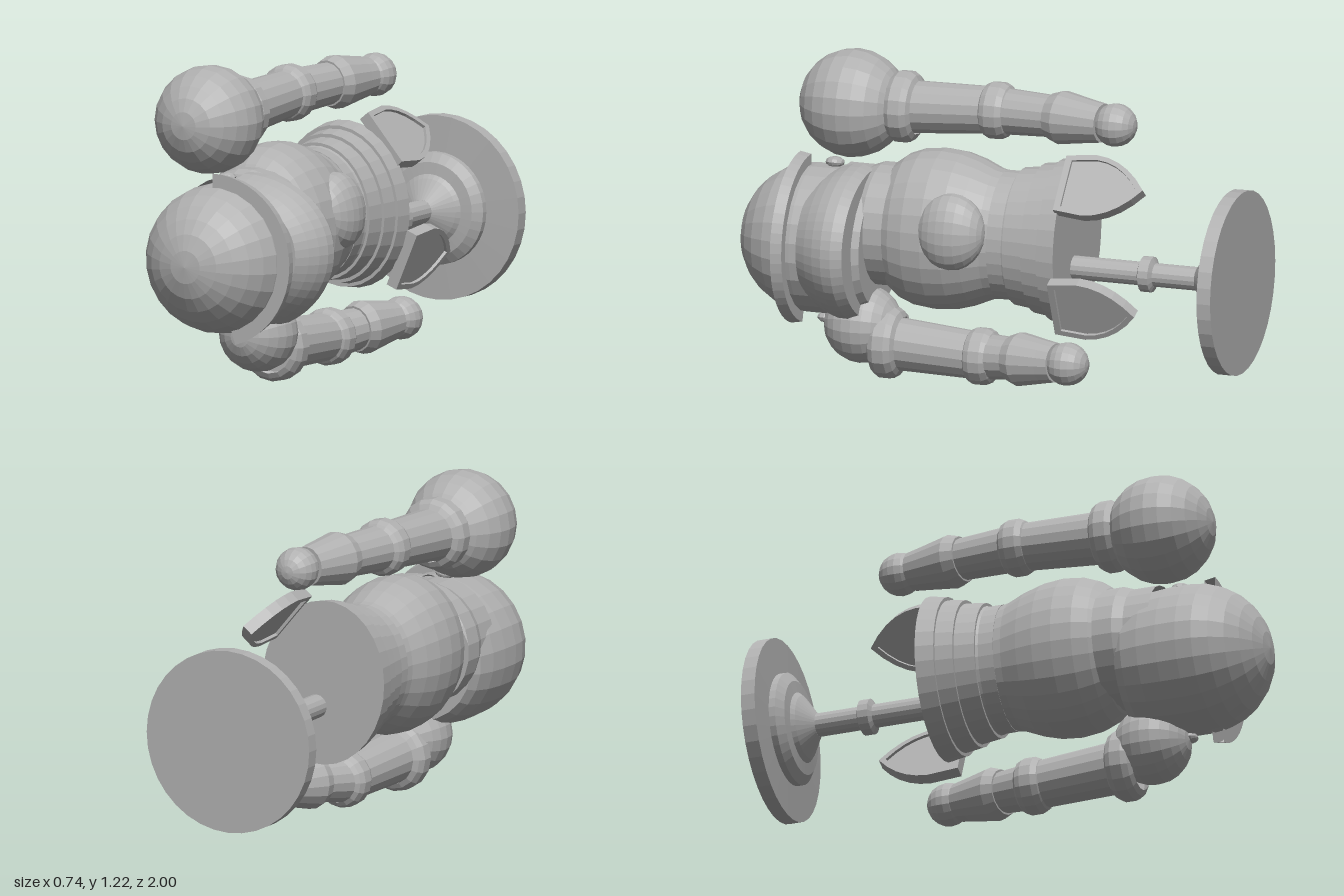
import * as THREE from 'three';

const metal = new THREE.MeshStandardMaterial({ color: 0xb0b0b0, flatShading: true, side: THREE.DoubleSide });
metal.name = 'grey metal';

const V = (x, y, z) => new THREE.Vector3(x, y, z);
const FACING = 0.15; // the figure looks along +x, turned slightly upward

function add(parent, name, geometry, x = 0, y = 0, z = 0) {
  const mesh = new THREE.Mesh(geometry, metal);
  mesh.name = name;
  mesh.position.set(x, y, z);
  parent.add(mesh);
  return mesh;
}

// Turned shape along z from [z, radius] pairs
function turned(profile, sides = 24, start = 0, length = Math.PI * 2) {
  const points = profile.map(([z, r]) => new THREE.Vector2(r, z));
  return new THREE.LatheGeometry(points, sides, start, length).rotateX(Math.PI / 2);
}

function ball(r, sides = 20, rings = 12) {
  return new THREE.SphereGeometry(r, sides, rings).rotateX(Math.PI / 2);
}

// Turned limb piece between two points, radii given as [fraction, radius]
function limb(parent, name, a, b, radii) {
  const dir = b.clone().sub(a);
  const len = dir.length();
  const mesh = add(parent, name, turned(radii.map(([t, r]) => [t * len, r]), 16), a.x, a.y, a.z);
  mesh.quaternion.setFromUnitVectors(V(0, 0, 1), dir.normalize());
}

const ringProfile = (r) => [[0, r * 0.75], [0.1, r * 0.9], [0.3, r], [0.7, r], [0.9, r * 0.9], [1, r * 0.75]];

function buildArm(name, p) {
  const arm = new THREE.Group();
  arm.name = name;
  add(arm, 'shoulderGuard', ball(p.shoulderR), ...p.shoulder.toArray());
  limb(arm, 'shoulderRing', V(p.ring.x, p.ring.y, 0.345), V(p.ring.x, p.ring.y, 0.455), ringProfile(0.137));
  limb(arm, 'upperArm', p.elbow, p.ring, [[0, 0], [0, 0.09], [1, 0.102], [1, 0]]);
  limb(arm, 'elbowRing', V(p.elbow.x, p.elbow.y, -0.035), V(p.elbow.x, p.elbow.y, 0.075), ringProfile(0.109));
  limb(arm, 'forearm', p.cuff, p.elbow, [[0, 0], [0, 0.08], [1, 0.09], [1, 0]]);
  limb(arm, 'cuff', p.hand, p.cuff, [[0.2, 0], [0.2, 0.075], [0.4, 0.083], [0.86, 0.103], [1.03, 0.088], [1.03, 0]]);
  add(arm, 'hand', ball(0.083, 16, 10), ...p.hand.toArray());
  return arm;
}

// Pointed hip plate outline, hanging toward -z once placed
function plateOutline(path, s) {
  const half = 0.128 * s, top = 0.16 * s, tip = -0.175 * s;
  path.moveTo(-half * 0.9, top);
  path.lineTo(-half, 0.04 * s);
  path.quadraticCurveTo(-half * 0.95, -0.08 * s, 0, tip);
  path.quadraticCurveTo(half * 0.95, -0.08 * s, half, 0.04 * s);
  path.lineTo(half * 0.9, top);
  path.closePath();
  return path;
}

function buildHipPlate(name, x, y, angle) {
  const plate = new THREE.Group();
  plate.name = name;
  const rimShape = plateOutline(new THREE.Shape(), 1);
  rimShape.holes.push(plateOutline(new THREE.Path(), 0.84));
  const extrude = (shape, depth) => new THREE.ExtrudeGeometry(shape, { depth, bevelEnabled: false, curveSegments: 5 })
    .translate(0, 0, -depth / 2)
    .rotateX(Math.PI / 2).rotateZ(Math.PI / 2); // thickness along x, length along z
  add(plate, 'rim', extrude(rimShape, 0.045));
  add(plate, 'panel', extrude(plateOutline(new THREE.Shape(), 0.86), 0.022));
  plate.position.set(x, y, -0.472);
  plate.rotation.z = angle;
  return plate;
}

export function createModel() {
  const model = new THREE.Group();
  model.name = 'armouredFigure';

  // Stand: stepped round base and pole with a collar
  const stand = new THREE.Group();
  stand.name = 'stand';
  stand.position.set(-0.02, 0.488, 0);
  add(stand, 'base', turned([
    [-1, 0], [-1, 0.352], [-0.945, 0.352], [-0.94, 0.215], [-0.915, 0.215], [-0.89, 0.18],
    [-0.885, 0.135], [-0.87, 0.12], [-0.82, 0.045], [-0.82, 0],
  ], 36));
  add(stand, 'pole', turned([[-0.83, 0.045], [-0.3, 0.045]], 16));
  add(stand, 'poleCollar', turned([
    [-0.65, 0.045], [-0.64, 0.068], [-0.6, 0.068], [-0.59, 0.045],
  ], 16));
  model.add(stand);

  // Body: flattened breastplate with a stepped skirt
  const body = new THREE.Group();
  body.name = 'body';
  body.position.set(-0.05, 0.582, 0);
  body.rotation.z = FACING;
  const flat = 0.82;
  add(body, 'breastplate', turned([
    [-0.05, 0.24], [0, 0.25], [0.07, 0.28], [0.14, 0.3], [0.22, 0.307],
    [0.3, 0.298], [0.36, 0.275], [0.4, 0.245], [0.42, 0.22], [0.42, 0],
  ], 28)).scale.x = flat;
  add(body, 'skirt', turned([
    [-0.322, 0], [-0.322, 0.32], [-0.25, 0.308], [-0.25, 0.295], [-0.18, 0.285], [-0.18, 0.272],
    [-0.1, 0.262], [-0.1, 0.25], [-0.09, 0.246], [-0.03, 0.246], [-0.03, 0.2],
  ], 32)).scale.x = flat;
  add(body, 'neck', turned([[0.38, 0.235], [0.46, 0.235], [0.5, 0.22], [0.6, 0.22]], 24));
  add(body, 'chestBoss', ball(0.14), 0.205, 0.015, 0.11).scale.set(0.64, 1.05, 0.96);
  model.add(body);

  // Hip plates on either side of the front
  model.add(buildHipPlate('leftHipPlate', 0.095, 0.835, FACING + 0.55));
  model.add(buildHipPlate('rightHipPlate', 0.185, 0.385, FACING - 0.55));

  // Head: domed helmet, brow band, eye slit and bulging face guard
  const head = new THREE.Group();
  head.name = 'head';
  head.position.set(-0.013, 0.512, 0);
  head.rotation.z = FACING;
  const shell = [[0.455, 0], [0.455, 0.24], [0.49, 0.262], [0.56, 0.278], [0.64, 0.285], [0.72, 0.285]];
  for (let i = 1; i <= 7; i++) {
    const a = (i / 7) * Math.PI / 2;
    shell.push([0.72 + 0.28 * Math.sin(a), 0.285 * Math.cos(a)]);
  }
  add(head, 'helmet', turned(shell, 24));
  const half = 1.43;
  const front = (profile) => turned(profile, 24, Math.PI / 2 - half, half * 2);
  add(head, 'browBand', front([
    [0.735, 0.27], [0.735, 0.322], [0.778, 0.33], [0.778, 0.26],
  ]));
  add(head, 'faceGuard', front([
    [0.48, 0.2], [0.48, 0.277], [0.52, 0.294], [0.56, 0.292], [0.6, 0.28],
    [0.64, 0.262], [0.685, 0.236], [0.685, 0.2],
  ])).scale.set(1.29, 1.03, 1);
  for (const s of [-1, 1]) {
    add(head, 'hinge', ball(0.036, 10, 6), 0.025, s * 0.295, 0.645).scale.set(1.1, 0.6, 1);
  }
  model.add(head);

  // Arms
  model.add(buildArm('leftArm', {
    shoulder: V(-0.128, 1.018, 0.605), shoulderR: 0.207, ring: V(-0.13, 1.022, 0.4),
    elbow: V(-0.115, 1.045, 0.02), cuff: V(-0.08, 1.052, -0.22), hand: V(-0.03, 1.055, -0.485),
  }));
  model.add(buildArm('rightArm', {
    shoulder: V(0.03, 0.205, 0.508), shoulderR: 0.15, ring: V(0.04, 0.144, 0.4),
    elbow: V(0.055, 0.128, 0.02), cuff: V(0.095, 0.142, -0.12), hand: V(0.155, 0.157, -0.36),
  }));
  return model;
}
